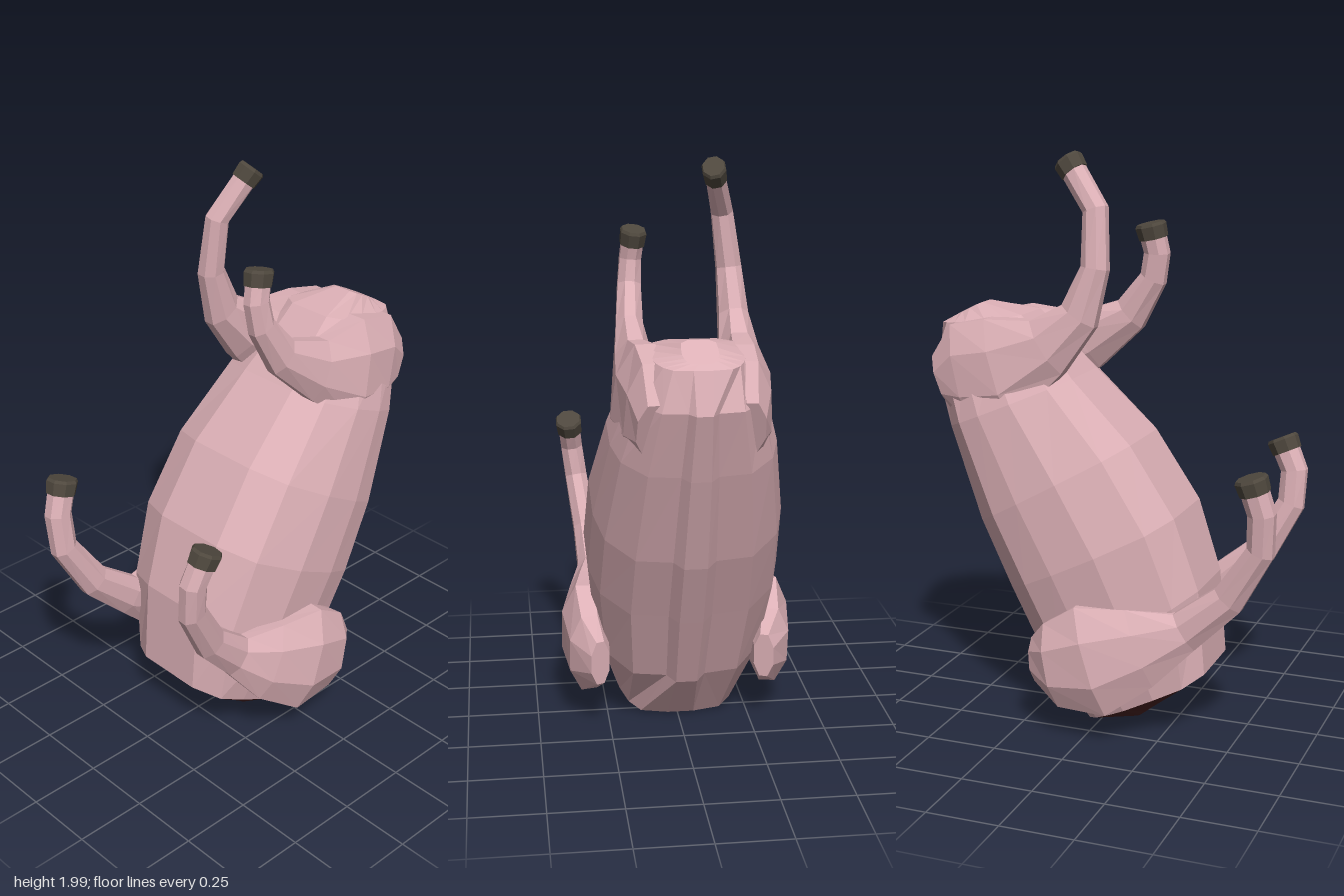
import * as THREE from 'three';

const V = (x, y, z) => new THREE.Vector3(x, y, z);
const CX = -0.012; // centre line of the torso

function material(color) {
  return new THREE.MeshStandardMaterial({ color, flatShading: true });
}
const skin = material(0xdcb0b6);
const hoofDark = material(0x4f483e);
const flesh = material(0x4a2222);
const bone = material(0x808080);

// Closed faceted skin through rings of equal length, with fan caps at both ends
function loft(rings, mat, name) {
  const tris = [];
  const n = rings[0].length;
  for (let i = 0; i < rings.length - 1; i++) {
    for (let j = 0; j < n; j++) {
      const k = (j + 1) % n;
      const a = rings[i][j], b = rings[i][k], c = rings[i + 1][k], d = rings[i + 1][j];
      tris.push([a, b, c], [a, c, d]);
    }
  }
  const cap = (ring, flip) => {
    const mid = V(0, 0, 0);
    ring.forEach(p => mid.addScaledVector(p, 1 / n));
    ring.forEach((p, j) => {
      const q = ring[(j + 1) % n];
      tris.push(flip ? [mid, q, p] : [mid, p, q]);
    });
  };
  cap(rings[0], true);
  cap(rings[rings.length - 1], false);
  // Face outwards whichever way the rings run
  const volume = tris.reduce((s, [a, b, c]) => s + a.dot(b.clone().cross(c)), 0);
  if (volume < 0) tris.forEach(t => t.reverse());
  const geometry = new THREE.BufferGeometry().setFromPoints(tris.flat());
  geometry.computeVertexNormals();
  const mesh = new THREE.Mesh(geometry, mat);
  mesh.name = name;
  return mesh;
}

// Torso ring between a belly point and a spine point; profile is [depth, half width]
const BODY = [[0, 0.42], [0.09, 0.84], [0.35, 1], [0.6, 0.99], [0.78, 0.89], [0.93, 0.6], [0.95, 0.22], [1, 0.12]];
const BLUNT = [[0, 0.55], [0.12, 0.95], [0.35, 1], [0.6, 1], [0.75, 0.92], [0.88, 0.8], [0.97, 0.62], [1, 0.2]];
function torsoRing([fz, fy, bz, by, w], profile) {
  const half = side => profile.map(([t, s]) =>
    V(CX + side * s * w, fy + (by - fy) * t, fz + (bz - fz) * t));
  return [...half(1), ...half(-1).reverse()];
}

// Oval rings along a path of [x, y, z, half thickness, half depth, outward lean of the lower edge]
function limbRings(path, sides = 8) {
  const pts = path.map(p => V(p[0], p[1], p[2]));
  return path.map(([, , , rx, rd, lean = 0], i) => {
    const t = pts[Math.min(i + 1, pts.length - 1)].clone().sub(pts[Math.max(i - 1, 0)]).normalize();
    const u = V(1, 0, 0).addScaledVector(t, -t.x).normalize();
    const v = t.clone().cross(u);
    return Array.from({ length: sides }, (_, k) => {
      const a = (k + 0.5) / sides * Math.PI * 2;
      const p = pts[i].clone()
        .addScaledVector(u, Math.cos(a) * rx * 1.08)
        .addScaledVector(v, Math.sin(a) * rd * 1.08);
      p.x -= lean * (p.y - pts[i].y);
      return p;
    });
  });
}

function leg(name, path) {
  const group = new THREE.Group();
  group.name = name;
  group.add(loft(limbRings(path), skin, name + 'Limb'));
  // Hoof continues the last stretch of the leg
  const [a, b] = path.slice(-2);
  const dir = V(b[0] - a[0], b[1] - a[1], b[2] - a[2]).normalize();
  const at = (d, s) => [b[0] + dir.x * d, b[1] + dir.y * d, b[2] + dir.z * d, b[3] * s, b[4] * s];
  group.add(loft(limbRings([at(-0.005, 1.1), at(0.04, 1.18), at(0.05, 1.05)]), hoofDark, name + 'Hoof'));
  return group;
}

export function createModel() {
  const model = new THREE.Group();
  model.name = 'carcass';

  // Torso from the neck cut up to the rump
  const rim = torsoRing([0.38, 0.23, -0.05, 0.01, 0.23], BLUNT);
  model.add(loft([
    rim,
    ...[
      [0.355, 0.53, -0.22, 0.20, 0.305],
      [0.27, 0.78, -0.35, 0.47, 0.335],
      [0.11, 1.02, -0.46, 0.70, 0.324],
      [-0.11, 1.23, -0.58, 1.03, 0.275],
      [-0.20, 1.33, -0.655, 1.26, 0.215],
    ].map(r => torsoRing(r, BODY)),
    ...[
      [-0.31, 1.435, -0.615, 1.395, 0.15],
      [-0.48, 1.465, -0.59, 1.41, 0.058],
    ].map(r => torsoRing(r, BLUNT)),
  ], skin, 'torso'));

  // Bulging cut neck with the spine end in its middle
  model.add(loft([
    rim,
    torsoRing([0.21, 0.1, 0.12, 0.03, 0.15], BLUNT),
  ], flesh, 'neckCut'));
  const spineEnd = new THREE.Mesh(new THREE.BoxGeometry(0.15, 0.1, 0.02), bone);
  spineEnd.name = 'spineEnd';
  spineEnd.position.set(CX, 0.071, 0.161);
  spineEnd.rotation.x = 0.915;
  model.add(spineEnd);

  // Hind legs, the hams leaning outwards at their lower edge
  model.add(leg('leftHindLeg', [
    [0.145, 1.2, -0.575, 0.045, 0.095, 0.05],
    [0.152, 1.235, -0.49, 0.068, 0.175, 0.07],
    [0.165, 1.26, -0.34, 0.08, 0.182, 0.12],
    [0.165, 1.32, -0.16, 0.062, 0.105, 0.08],
    [0.16, 1.42, 0.00, 0.046, 0.064],
    [0.152, 1.55, 0.085, 0.04, 0.046],
    [0.146, 1.64, 0.1, 0.037, 0.044],
    [0.14, 1.695, 0.088, 0.037, 0.044],
  ]));
  model.add(leg('rightHindLeg', [
    [-0.17, 1.2, -0.575, 0.045, 0.095, -0.05],
    [-0.178, 1.235, -0.49, 0.068, 0.175, -0.07],
    [-0.19, 1.26, -0.34, 0.082, 0.182, -0.12],
    [-0.19, 1.35, -0.17, 0.066, 0.105, -0.08],
    [-0.188, 1.46, -0.055, 0.05, 0.068],
    [-0.18, 1.62, -0.002, 0.042, 0.046],
    [-0.155, 1.81, -0.01, 0.036, 0.042],
    [-0.12, 1.93, -0.1, 0.033, 0.042],
  ]));

  // Front legs, the shoulders rounding off into the flanks
  model.add(leg('leftFrontLeg', [
    [0.285, 0.27, -0.185, 0.035, 0.08],
    [0.318, 0.275, -0.1, 0.07, 0.15],
    [0.325, 0.31, 0.04, 0.082, 0.195],
    [0.305, 0.365, 0.2, 0.065, 0.14],
    [0.285, 0.44, 0.33, 0.045, 0.07],
    [0.295, 0.56, 0.455, 0.042, 0.056],
    [0.32, 0.74, 0.555, 0.04, 0.048],
    [0.335, 0.86, 0.56, 0.04, 0.046],
    [0.343, 0.93, 0.528, 0.04, 0.046],
  ]));
  model.add(leg('rightFrontLeg', [
    [-0.29, 0.27, -0.185, 0.035, 0.08],
    [-0.322, 0.275, -0.1, 0.068, 0.15],
    [-0.328, 0.31, 0.04, 0.08, 0.195],
    [-0.295, 0.365, 0.2, 0.063, 0.14],
    [-0.265, 0.43, 0.35, 0.045, 0.07],
    [-0.265, 0.56, 0.50, 0.042, 0.056],
    [-0.28, 0.74, 0.61, 0.042, 0.046],
    [-0.293, 0.87, 0.615, 0.042, 0.045],
    [-0.3, 0.945, 0.592, 0.042, 0.045],
  ]));

  return model;
}
